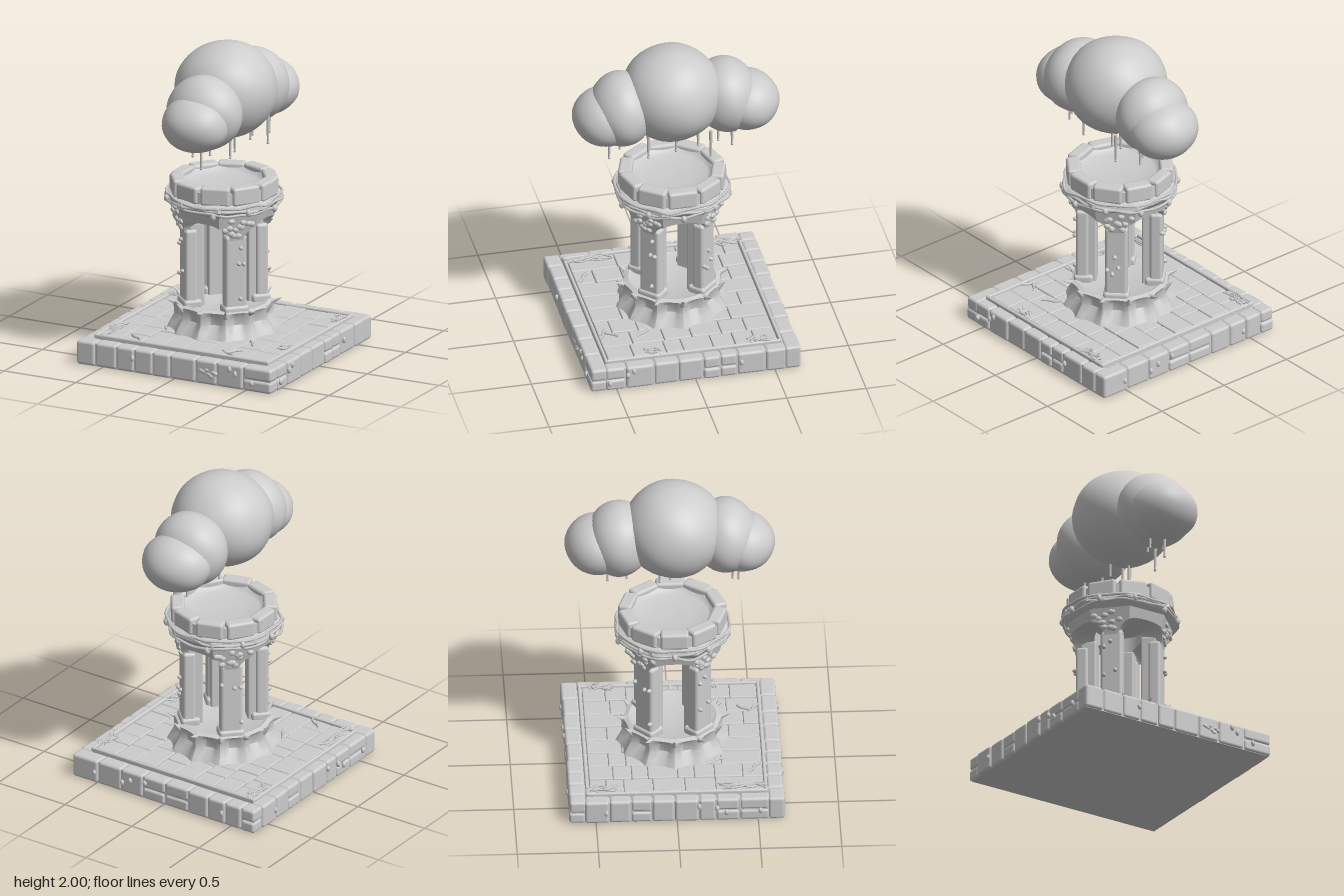
import * as THREE from 'three';
import { mergeVertices, toCreasedNormals } from 'three/addons/utils/BufferGeometryUtils.js';
import { RoundedBoxGeometry } from 'three/addons/geometries/RoundedBoxGeometry.js';

const clay = new THREE.MeshStandardMaterial({ color: 0xcccccc });
clay.name = 'light grey clay';

let seed = 7;
const rand = (a = 0, b = 1) => {
  seed = (seed * 16807) % 2147483647;
  return a + (b - a) * (seed / 2147483647);
};

const add = (parent, name, geo, x = 0, y = 0, z = 0) => {
  const m = new THREE.Mesh(geo, clay);
  m.name = name;
  m.position.set(x, y, z);
  parent.add(m);
  return m;
};
const subgroup = (parent, name) => {
  const g = new THREE.Group();
  g.name = name;
  parent.add(g);
  return g;
};
const stone = (parent, name, w, h, d, x, y, z, r = 0.012) =>
  add(parent, name, new RoundedBoxGeometry(w, h, d, 2, Math.min(r, h * 0.45)), x, y, z);
const tube = (parent, name, pts, r, closed = false) =>
  add(parent, name, new THREE.TubeGeometry(
    new THREE.CatmullRomCurve3(pts.map(p => new THREE.Vector3(...p)), closed), pts.length * 4, r, 6, closed));

// Closed ring swept round y; profile(angle) gives a counter-clockwise loop of [radius, y]
function ring(n, profile, offset = 0) {
  const pos = [], idx = [];
  const k = profile(0).length;
  for (let i = 0; i < n; i++) {
    const a = offset + (i / n) * Math.PI * 2;
    profile(a).forEach(([r, y]) => pos.push(r * Math.sin(a), y, r * Math.cos(a)));
    for (let j = 0; j < k; j++) {
      const i2 = (i + 1) % n, j2 = (j + 1) % k;
      const A = i * k + j, B = i2 * k + j, C = i2 * k + j2, D = i * k + j2;
      idx.push(A, B, C, A, C, D);
    }
  }
  const g = new THREE.BufferGeometry();
  g.setAttribute('position', new THREE.Float32BufferAttribute(pos, 3));
  g.setIndex(idx);
  return toCreasedNormals(g, 0.6);
}

// Ellipsoid with gentle lumps and smooth normals; small ones get fewer faces
function puff(rx, ry, rz, phase, amount) {
  const sides = rx > 0.1 ? 36 : 10;
  let g = new THREE.SphereGeometry(1, sides, Math.round(sides * 0.7));
  g.deleteAttribute('uv');
  g.deleteAttribute('normal');
  g = mergeVertices(g, 1e-4);
  const p = g.attributes.position, v = new THREE.Vector3();
  for (let i = 0; i < p.count; i++) {
    v.fromBufferAttribute(p, i);
    const s = 1 + amount * (Math.sin(5 * v.x + phase) + Math.sin(6 * v.y + 2 * phase) * Math.sin(5 * v.z + phase));
    p.setXYZ(i, v.x * s * rx, v.y * s * ry, v.z * s * rz);
  }
  g.computeVertexNormals();
  return g;
}

function buildBase(root) {
  const base = subgroup(root, 'base');
  add(base, 'baseCore', new THREE.BoxGeometry(1.34, 0.145, 1.3), 0, 0.0725, 0);
  // Edge blocks, some split into two courses
  const edge = (len, place) => {
    for (let t = -len / 2; t < len / 2 - 0.01;) {
      let l = rand(0.1, 0.19);
      if (len / 2 - t - l < 0.08) l = len / 2 - t;
      const c = t + l / 2, w = l - 0.004, out = rand(-0.004, 0.004);
      if (rand() < 0.4) {
        place(c, w, 0.072, 0.037, out);
        place(c, w, 0.078, 0.114, out - 0.003);
      } else place(c, w, 0.152, 0.077, out);
      t += l;
    }
  };
  for (const s of [-1, 1]) {
    edge(1.36, (c, w, h, y, o) => stone(base, 'edgeBlock', w, h, 0.1, c, y, s * (0.612 + o), 0.018));
    edge(1.14, (c, w, h, y, o) => stone(base, 'edgeBlock', 0.1, h, w, s * (0.632 + o), y, c, 0.018));
    // Raised trim round the paving
    stone(base, 'trim', 1.22, 0.04, 0.022, 0, 0.156, s * 0.55);
    stone(base, 'trim', 0.022, 0.04, 1.1, s * 0.6, 0.156, 0);
  }
  // Paving in uneven rows
  const rows = 8, rw = 1.17 / rows;
  for (let i = 0; i < rows; i++)
    for (let z = -0.535; z < 0.53;) {
      let l = rand(0.1, 0.23);
      if (0.535 - z - l < 0.08) l = 0.535 - z;
      stone(base, 'pavingSlab', rw - 0.003, 0.04, l - 0.003, -0.585 + (i + 0.5) * rw, 0.147 + rand(-0.003, 0.003), z + l / 2, 0.008);
      z += l;
    }
  // Tangled growth in the corners
  for (const [x, z, len] of [[-0.56, -0.46, 0.17], [-0.56, 0.41, 0.28], [0.575, -0.42, 0.13], [0.55, 0.25, 0.08]])
    for (let i = 0; i < 7; i++) {
      const pts = [0, 1, 2, 3].map(k => [x + rand(-0.035, 0.035), 0.172 + rand(-0.004, 0.012), z + len * (k / 3 - 0.5) + rand(-0.02, 0.02)]);
      tube(base, 'cornerVine', pts, 0.006);
    }
  // Fallen roots on the paving
  for (const [x, z, a] of [[-0.35, 0.48, 0.6], [0.31, 0.45, -0.9], [0.34, 0.26, -2.2], [0.3, 0.5, 0.5], [-0.27, 0.24, 1]])
    tube(base, 'looseRoot', [0, 1, 2, 3].map(k =>
      [x + (0.04 * k - 0.06) * Math.cos(a), 0.17, z + (0.04 * k - 0.06) * Math.sin(a) + 0.01 * (k % 2)]), 0.009);
  // Small growths on the outer walls
  for (let i = 0; i < 9; i++) {
    const g = puff(0.014, 0.02, 0.014, i, 0.05), t = rand(-0.55, 0.55), y = rand(0.05, 0.13);
    const s = i % 2 ? 1 : -1;
    add(base, 'wallGrowth', g, s * 0.685, y, t);
    add(base, 'wallGrowth', g, t, y, s * 0.662);
  }
  for (let i = 0; i < 8; i++)
    add(base, 'wallGrowth', puff(0.018, 0.014, 0.014, i, 0.05), 0.19 + 0.014 * i, 0.075 + rand(-0.02, 0.02), 0.655);
}

function buildTower(root) {
  const tower = subgroup(root, 'tower');
  // Foot with lobed root buttresses
  const lobe = a => Math.pow(0.5 + 0.5 * Math.cos(12 * a), 2);
  add(tower, 'foot', ring(96, a => [
    [0.001, 0.16], [0.33 + 0.025 * lobe(a), 0.16], [0.305 + 0.03 * lobe(a), 0.2], [0.272 + 0.035 * lobe(a), 0.25],
    [0.275 + 0.035 * lobe(a), 0.3], [0.295 + 0.015 * lobe(a), 0.33], [0.27, 0.34], [0.24, 0.325], [0.001, 0.32],
  ]));
  for (let i = 0; i < 12; i++) {
    const a = (i / 12) * Math.PI * 2;
    const horn = add(tower, 'footHorn', new THREE.ConeGeometry(0.028, 0.11, 8), 0.31 * Math.sin(a), 0.325, 0.31 * Math.cos(a));
    horn.rotation.set(1.25 - 0.5 * (i % 2), a, 0, 'YXZ');
  }

  // Four stepped pillars on the diagonals
  for (let i = 0; i < 4; i++) {
    const pillar = subgroup(tower, 'pillar');
    pillar.rotation.y = Math.PI / 4 + (i * Math.PI) / 2;
    stone(pillar, 'innerShaft', 0.11, 0.56, 0.1, 0, 0.58, 0.19);
    stone(pillar, 'outerShaft', 0.14, 0.52, 0.08, 0, 0.56, 0.228, 0.02);
    stone(pillar, 'pillarFoot', 0.16, 0.06, 0.12, 0, 0.34, 0.22, 0.02);
    for (let k = 0; k < 4; k++)
      add(pillar, 'pillarKnob', puff(0.014, 0.014, 0.022, k, 0.05), rand(-0.065, 0.065), rand(0.4, 0.75), 0.268);
    // Carved lumps on the capital
    for (let k = 0; k < 12; k++) {
      const y = rand(0.82, 0.93), w = 0.06 + (y - 0.82) * 0.5;
      add(pillar, 'capitalCarving', puff(0.022, 0.017, 0.012, k, 0.05), rand(-w, w), y, 0.275 + (y - 0.8) * 0.22);
    }
  }

  // Octagonal arch wall with four openings
  const q = Math.PI / 4;
  const oct = a => 1 / Math.cos(a - Math.round(a / q) * q);
  const soffit = a => {
    const f = Math.abs(a - Math.round(a / (2 * q)) * 2 * q) / q;
    const t = Math.min(1, f / 0.8);
    return 0.78 + 0.12 * Math.sqrt(Math.max(0, 1 - Math.pow(t, 2.6)));
  };
  add(tower, 'archWall', ring(96, a => {
    const y = soffit(a), o = oct(a);
    return [[0.16, y], [(0.265 + (y - 0.78) * 0.2) * o, y], [0.3 * o, 0.94], [0.31 * o, 0.98], [0.16, 0.98]];
  }));

  // Octagonal cornice, upper wall and dish
  add(tower, 'cornice', ring(8, () => [[0.001, 0.96], [0.335, 0.96], [0.355, 0.98], [0.37, 1.0], [0.365, 1.025], [0.34, 1.04], [0.001, 1.04]], q / 2));
  add(tower, 'upperWall', ring(40, () => [[0.25, 1.03], [0.322, 1.03], [0.322, 1.11], [0.25, 1.11]]));
  add(tower, 'dish', new THREE.LatheGeometry(
    [[0.265, 1.125], [0.24, 1.105], [0.22, 1.085], [0.12, 1.075], [0, 1.07]].map(p => new THREE.Vector2(...p)), 40));
  for (let i = 0; i < 10; i++) {
    const a = ((i + 0.5) / 10) * Math.PI * 2;
    const h = 0.115 + rand(-0.008, 0.004);
    const m = stone(tower, 'crownStone', rand(0.172, 0.188), h, 0.085, 0.285 * Math.sin(a), 1.03 + h / 2, 0.285 * Math.cos(a), 0.018);
    m.rotation.y = a;
  }
  // Vines wound round the cornice
  for (let v = 0; v < 3; v++) {
    const pts = [];
    for (let i = 0; i < 24; i++) {
      const a = (i / 24) * Math.PI * 2, r = 0.338 * oct(a) + rand(0, 0.012);
      pts.push([r * Math.sin(a), 0.98 + 0.025 * v + rand(-0.014, 0.014), r * Math.cos(a)]);
    }
    tube(tower, 'corniceVine', pts, 0.009, true);
  }
  for (let i = 0; i < 10; i++) {
    const a = i * 0.63 + 0.3;
    add(tower, 'vineLeaf', puff(0.018, 0.024, 0.018, i, 0.05), 0.355 * Math.sin(a), 0.985 + rand(-0.02, 0.03), 0.355 * Math.cos(a));
  }
}

function buildCloud(root) {
  const cloud = subgroup(root, 'cloud');
  // Centre and size of each puff
  [
    [0.022, 1.7, 0.01, 0.32, 0.3, 0.315],
    [0.04, 1.635, 0.33, 0.245, 0.235, 0.2],
    [0.035, 1.59, 0.435, 0.215, 0.178, 0.198],
    [0.02, 1.64, -0.33, 0.24, 0.235, 0.2],
    [0.035, 1.595, -0.46, 0.225, 0.182, 0.203],
  ].forEach(([x, y, z, rx, ry, rz], i) => add(cloud, 'cloudPuff', puff(rx, ry, rz, i * 1.7, 0.007), x, y, z));
  // Rain drips as [x, z, lowest y]
  [
    [0.06, 0.41, 1.29], [-0.02, 0.37, 1.35], [0.09, 0.35, 1.37], [0.04, 0.25, 1.38], [0.14, 0.18, 1.31], [0.07, -0.01, 1.29],
    [-0.02, -0.08, 1.33], [0.11, -0.14, 1.34], [0.2, -0.2, 1.31], [0.05, -0.28, 1.32], [0.13, -0.35, 1.33], [0.0, -0.4, 1.34],
  ].forEach(([x, z, low]) => {
    add(cloud, 'rainDrip', new THREE.CylinderGeometry(0.012, 0.006, 1.5 - low, 8), x, (1.5 + low) / 2, z);
    add(cloud, 'rainDrop', new THREE.SphereGeometry(0.009, 8, 6), x, low + 0.008, z);
  });
}

export function createModel() {
  seed = 7;
  const root = new THREE.Group();
  root.name = 'cloudShrine';
  buildBase(root);
  buildTower(root);
  buildCloud(root);
  return root;
}
